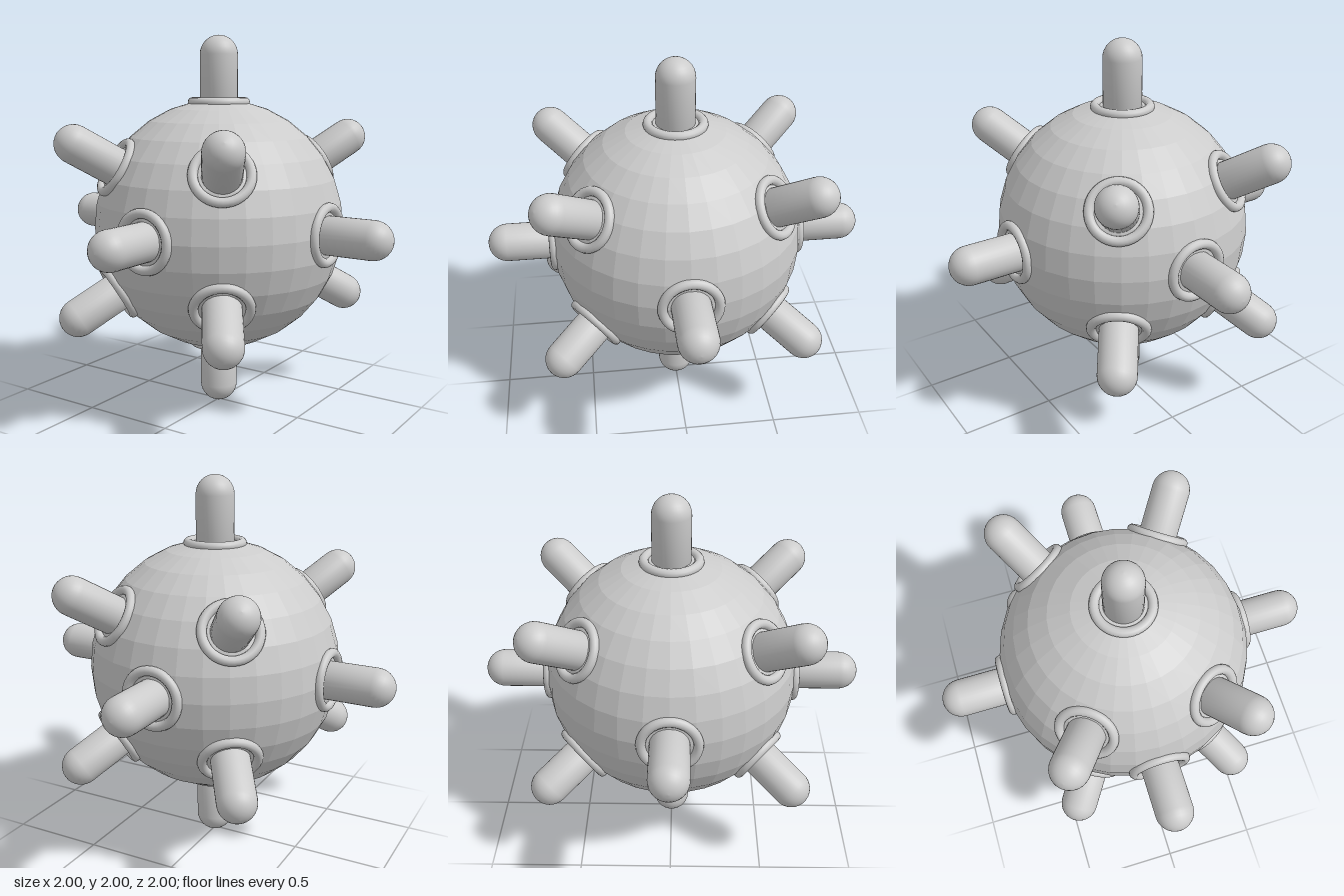
import * as THREE from 'three';

const BODY_R = 0.667, HORN_R = 0.1, TIP = 1;

export function createModel() {
  const model = new THREE.Group();
  model.name = 'spikedBall';
  const flat = new THREE.MeshStandardMaterial({ color: 0xcccccc, flatShading: true });
  const smooth = new THREE.MeshStandardMaterial({ color: 0xcccccc });

  const add = (parent, name, geometry, material) => {
    const mesh = new THREE.Mesh(geometry, material);
    mesh.name = name;
    parent.add(mesh);
    return mesh;
  };

  // Faceted central ball
  add(model, 'body', new THREE.SphereGeometry(BODY_R, 32, 16), flat).position.y = 1;

  // Round-ended horn, rooted inside the ball
  const root = 0.55;
  const profile = [new THREE.Vector2(0, root), new THREE.Vector2(HORN_R, root)];
  for (let i = 0; i <= 8; i++) {
    const a = (i / 8) * Math.PI / 2;
    profile.push(new THREE.Vector2(HORN_R * Math.cos(a), TIP - HORN_R + HORN_R * Math.sin(a)));
  }
  profile[profile.length - 1].x = 0;
  const hornGeometry = new THREE.LatheGeometry(profile, 32);

  // Collar ring lying on the ball's surface around each horn
  const collarGeometry = new THREE.TorusGeometry(0.14, 0.025, 12, 40);
  collarGeometry.rotateX(Math.PI / 2);
  collarGeometry.translate(0, 0.652, 0);

  // Six axis directions and eight diagonal ones
  const directions = [];
  for (const s of [1, -1]) {
    directions.push([s, 0, 0], [0, s, 0], [0, 0, s]);
    for (const t of [1, -1])
      for (const u of [1, -1]) directions.push([0.5 * s, 0.5 * t, Math.SQRT1_2 * u]);
  }

  const up = new THREE.Vector3(0, 1, 0);
  directions.forEach((d, i) => {
    const spike = new THREE.Group();
    spike.name = `spike${i + 1}`;
    add(spike, 'horn', hornGeometry, smooth);
    add(spike, 'collar', collarGeometry, smooth);
    spike.quaternion.setFromUnitVectors(up, new THREE.Vector3(...d).normalize());
    spike.position.y = 1;
    model.add(spike);
  });

  return model;
}
